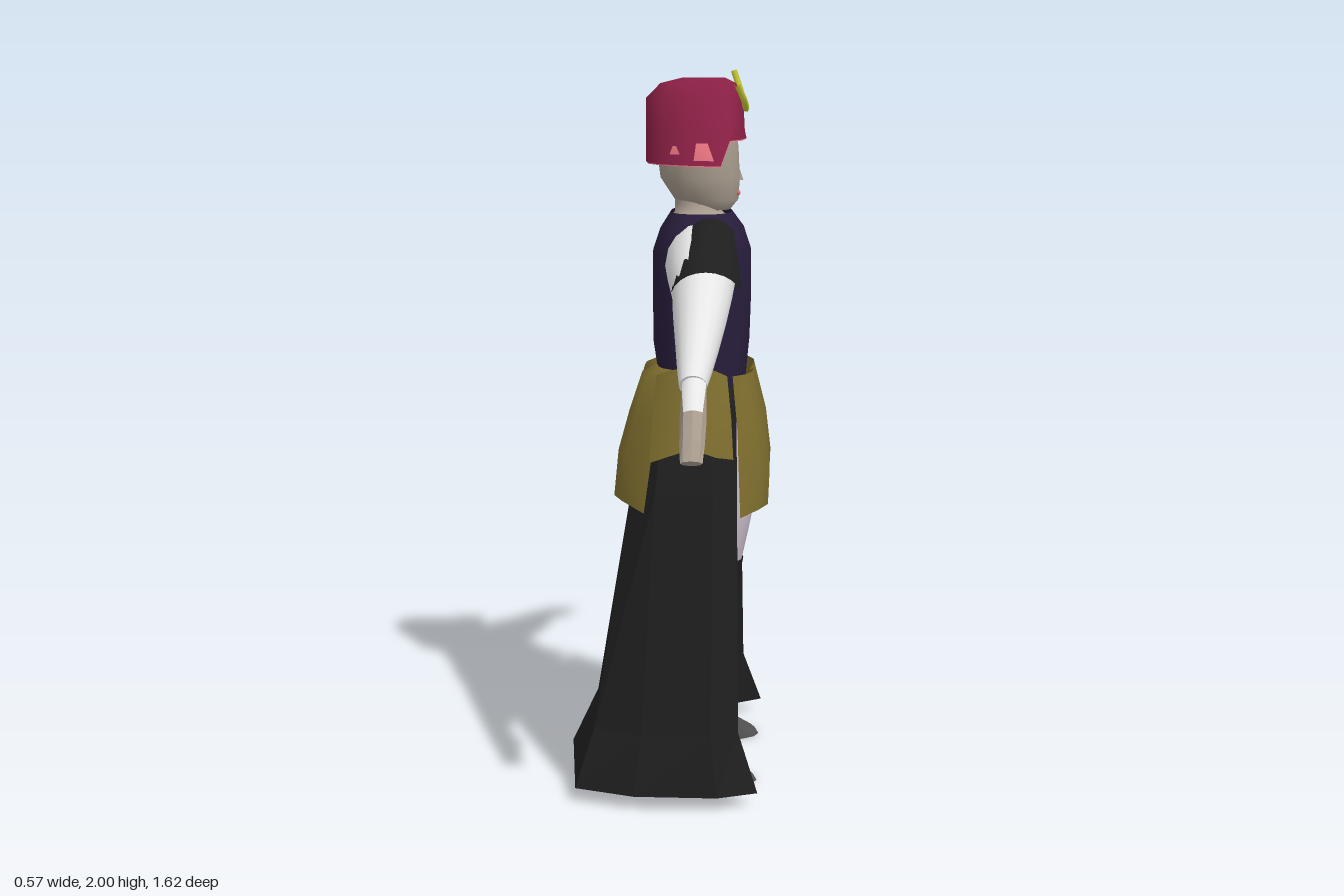
import * as THREE from 'three';

const mat = (name, color, side = THREE.DoubleSide) => {
  const m = new THREE.MeshStandardMaterial({ color, side });
  m.name = name;
  return m;
};
const V = (x, y, z) => new THREE.Vector3(x, y, z);

// Skin between rings of points; optional end caps use their own vertices so the edge stays sharp.
function loft(name, rings, material, { closed = true, capStart = false, capEnd = false, flat = false } = {}) {
  const pos = [], idx = [], n = rings[0].length;
  rings.forEach(r => r.forEach(p => pos.push(p.x, p.y, p.z)));
  for (let i = 0; i < rings.length - 1; i++) {
    for (let j = 0; j < (closed ? n : n - 1); j++) {
      const k = (j + 1) % n, a = i * n + j, b = i * n + k;
      idx.push(a, a + n, b, b, a + n, b + n);
    }
  }
  const cap = (ring, reverse) => {
    const c = new THREE.Vector3();
    ring.forEach(p => c.addScaledVector(p, 1 / n));
    const base = pos.length / 3;
    [c, ...ring].forEach(p => pos.push(p.x, p.y, p.z));
    for (let j = 0; j < n; j++) {
      const a = base + 1 + j, b = base + 1 + (j + 1) % n;
      reverse ? idx.push(base, a, b) : idx.push(base, b, a);
    }
  };
  if (capStart) cap(rings[0], true);
  if (capEnd) cap(rings[rings.length - 1], false);
  let geo = new THREE.BufferGeometry();
  geo.setAttribute('position', new THREE.Float32BufferAttribute(pos, 3));
  geo.setIndex(idx);
  if (flat) geo = geo.toNonIndexed();
  geo.computeVertexNormals();
  const mesh = new THREE.Mesh(geo, material);
  mesh.name = name;
  return mesh;
}

// Horizontal oval ring; power below 1 makes it boxier.
function oval(y, x0, x1, rz, cz = 0, n = 20, power = 1) {
  const s = v => Math.sign(v) * Math.abs(v) ** power;
  return Array.from({ length: n }, (_, j) => {
    const t = j / n * Math.PI * 2;
    return V((x0 + x1) / 2 + (x1 - x0) / 2 * s(Math.cos(t)), y, cz + rz * s(Math.sin(t)));
  });
}

// Oval rings across a limb that runs in the y-z plane: [z, y, radius, x, xRadius].
// With half angles given, each ring is only an arc over the top.
function limb(sections, n, halfAngles, grow = 0) {
  return sections.map(([z, y, r, x, rx], i) => {
    const p = sections[Math.max(0, i - 1)], q = sections[Math.min(sections.length - 1, i + 1)];
    const d = new THREE.Vector2(q[0] - p[0], q[1] - p[1]).normalize();
    return Array.from({ length: n }, (_, j) => {
      const t = halfAngles ? halfAngles[i] * (2 * j / (n - 1) - 1) : j / n * Math.PI * 2;
      const c = (r + grow) * Math.cos(t);
      return V(x + (rx + grow) * Math.sin(t), y + d.x * c, z - d.y * c);
    });
  });
}

// Half outline [x, z, y?] completed by mirroring across z = 0; points on z = 0 stay single.
function mirrored(half, y) {
  const a = half.map(p => V(p[0], p[2] ?? y, p[1]));
  const b = a.filter(p => p.z !== 0).map(p => V(p.x, p.y, -p.z)).reverse();
  return [...a, ...b];
}

function mirrorMesh(mesh, name) {
  const geo = mesh.geometry.clone().scale(1, 1, -1);
  const src = geo.index ? Array.from(geo.index.array) : [...Array(geo.attributes.position.count).keys()];
  const out = [];
  for (let i = 0; i < src.length; i += 3) out.push(src[i], src[i + 2], src[i + 1]);
  geo.setIndex(out);
  const m = new THREE.Mesh(geo, mesh.material);
  m.name = name;
  return m;
}

export function createModel() {
  const group = new THREE.Group();
  group.name = 'womanInHat';
  const F = THREE.FrontSide;
  const skin = mat('skin', 0xa79b8d, F), thighSkin = mat('stocking', 0xc2b6c2, F);
  const white = mat('white shirt', 0xf0f0f0), black = mat('black cloth', 0x1e1e1e);
  const purple = mat('purple vest', 0x281d3c), gold = mat('gold cloth', 0x7c6c2d);
  const red = mat('red felt', 0x891f44), pink = mat('pink lining', 0xde6f7a);
  const yellow = mat('yellow plume', 0xc6c832, F), grey = mat('grey shoe', 0x505050, F);
  const add = (...m) => group.add(...m);
  const pair = m => {
    const base = m.name[0].toUpperCase() + m.name.slice(1);
    m.name = 'left' + base;
    add(m, mirrorMesh(m, 'right' + base));
  };

  // Head, neck and face
  add(loft('head', [
    oval(1.612, 0.07, 0.165, 0.045), oval(1.64, 0.01, 0.188, 0.075), oval(1.7, -0.03, 0.192, 0.093),
    oval(1.78, -0.04, 0.188, 0.1), oval(1.86, -0.03, 0.18, 0.085), oval(1.92, 0.03, 0.13, 0.045),
  ], skin, { capStart: true, capEnd: true }));
  add(loft('neck', [oval(1.585, -0.01, 0.17, 0.13), oval(1.605, 0.01, 0.145, 0.08),
    oval(1.63, 0.01, 0.13, 0.062), oval(1.68, 0.01, 0.13, 0.062)], skin));
  const nose = new THREE.Mesh(new THREE.ConeGeometry(0.01, 0.03, 4), skin);
  nose.name = 'nose';
  nose.position.set(0.192, 1.708, 0);
  const lips = new THREE.Mesh(new THREE.SphereGeometry(1, 10, 6), pink);
  lips.name = 'lips';
  lips.scale.set(0.006, 0.008, 0.026);
  lips.position.set(0.188, 1.658, 0);
  add(nose, lips);

  // Hat: high front brim, sides and back dropping lower
  const brim = mirrored([[0.21, 0, 1.81], [0.2, 0.09, 1.81], [0.168, 0.165, 1.81], [0.145, 0.225, 1.745],
    [0.06, 0.195], [-0.02, 0.14], [-0.06, 0.07], [-0.07, 0]], 1.745);
  const crown = [
    [1.83, [[0.205, 0], [0.195, 0.08], [0.17, 0.145], [0.13, 0.155], [0.05, 0.15], [-0.02, 0.115], [-0.06, 0.06], [-0.07, 0]]],
    [1.92, [[0.2, 0], [0.185, 0.05], [0.155, 0.08], [0.11, 0.09], [0.05, 0.09], [-0.02, 0.08], [-0.06, 0.04], [-0.07, 0]]],
    [1.96, [[0.18, 0], [0.17, 0.03], [0.145, 0.052], [0.1, 0.06], [0.05, 0.055], [0, 0.045], [-0.02, 0.02], [-0.03, 0]]],
    [1.975, [[0.15, 0], [0.145, 0.01], [0.13, 0.02], [0.1, 0.022], [0.07, 0.02], [0.045, 0.016], [0.035, 0.008], [0.03, 0]]],
  ].map(([y, h]) => mirrored(h, y));
  add(loft('hat', [brim, ...crown], red, { capEnd: true }));
  const inset = (ring, sx, sz, dy) => ring.map(p => V(0.075 + (p.x - 0.075) * sx, p.y + dy, p.z * sz));
  add(loft('hatLining', [inset(crown[0], 0.8, 0.55, 0.015), inset(crown[0], 0.96, 0.96, -0.004),
    inset(brim, 0.995, 0.995, -0.003)], pink));
  const plume = new THREE.Mesh(new THREE.TubeGeometry(new THREE.CatmullRomCurve3([
    V(0.185, 1.96, 0.1), V(0.204, 1.915, 0.06), V(0.208, 1.892, 0.015), V(0.205, 1.895, -0.03),
    V(0.19, 1.94, -0.07), V(0.172, 1.992, -0.085)]), 24, 0.009, 6), yellow);
  plume.name = 'plume';
  add(plume);

  // Vest
  add(loft('vest', [
    [1.02, -0.02, 0.2, 0.16], [1.12, -0.03, 0.21, 0.165], [1.25, -0.05, 0.222, 0.165], [1.38, -0.05, 0.226, 0.182],
    [1.5, -0.05, 0.225, 0.185], [1.56, -0.03, 0.205, 0.175], [1.608, 0, 0.17, 0.13],
  ].map(([y, a, b, rz]) => oval(y, a, b, rz, 0, 28, 0.75)), purple, { capStart: true }));

  // Arms, shoulder caps and hands
  const arm = [[0.12, 1.48, 0.112, 0.093, 0.1], [0.175, 1.472, 0.108, 0.093, 0.1], [0.25, 1.443, 0.096, 0.096, 0.092],
    [0.312, 1.4, 0.085, 0.1, 0.08], [0.37, 1.362, 0.079, 0.098, 0.073], [0.475, 1.298, 0.064, 0.095, 0.058],
    [0.56, 1.25, 0.047, 0.092, 0.046], [0.622, 1.217, 0.034, 0.09, 0.036]];
  const capPath = arm.slice(0, 4).map(([z, y, r]) => [z, y, r, 0.112, 0.088]);
  pair(loft('shirtSleeve', limb(arm, 16), white, { capEnd: true }));
  pair(loft('shoulderCap', limb(capPath, 11, [0.8, 0.85, 1.1, 1.35], 0.008), black, { closed: false }));
  const hand = [[0.59, 1.232, 0.03, 0.093, 0.03], [0.64, 1.2, 0.03, 0.093, 0.032], [0.7, 1.148, 0.03, 0.094, 0.034],
    [0.76, 1.095, 0.022, 0.094, 0.032], [0.803, 1.055, 0.01, 0.094, 0.028]];
  pair(loft('hand', limb(hand, 8), skin, { capEnd: true, flat: true }));
  pair(loft('cuffPoint', limb(hand.slice(0, 3), 7, [1.2, 1, 0.7], 0.004), white, { closed: false }));
  pair(loft('thumb', limb([[0.635, 1.19, 0.017, 0.112, 0.014], [0.665, 1.135, 0.014, 0.115, 0.013],
    [0.685, 1.085, 0.006, 0.112, 0.008]], 6), skin, { capEnd: true, flat: true }));

  // Legs and shoes
  pair(loft('thigh', [oval(0.63, 0.03, 0.205, 0.085, 0.143), oval(0.72, 0.025, 0.225, 0.093, 0.135),
    oval(0.82, 0.02, 0.245, 0.1, 0.126), oval(1.05, 0, 0.23, 0.1, 0.105)], thighSkin));
  pair(loft('longSock', [oval(0.12, 0.025, 0.12, 0.043, 0.157), oval(0.2, 0.02, 0.13, 0.047, 0.157),
    oval(0.32, 0.015, 0.155, 0.064, 0.153), oval(0.45, 0.01, 0.18, 0.083, 0.147),
    oval(0.55, 0.015, 0.195, 0.09, 0.144), oval(0.645, 0.022, 0.212, 0.091, 0.143)], black));
  pair(loft('shoe', [oval(0, 0.01, 0.255, 0.068, 0.195, 14), oval(0.018, 0.01, 0.245, 0.068, 0.194, 14),
    oval(0.06, 0.012, 0.18, 0.056, 0.178, 14), oval(0.145, 0.018, 0.125, 0.046, 0.157, 14)],
  grey, { capStart: true, capEnd: true }));

  // Long overskirt, open at the front
  const skirtRings = [
    [0.04, [[0.18, 0.35], [0.26, 0.4], [0.15, 0.445], [-0.08, 0.445], [-0.245, 0.39], [-0.29, 0]]],
    [0.2, [[0.15, 0.32], [0.205, 0.36], [0.13, 0.41], [-0.06, 0.405], [-0.195, 0.34], [-0.215, 0]]],
    [0.85, [[0.15, 0.22], [0.195, 0.235], [0.13, 0.272], [-0.03, 0.27], [-0.1, 0.19], [-0.105, 0]]],
    [1.1, [[0.16, 0.165], [0.19, 0.17], [0.12, 0.2], [-0.01, 0.19], [-0.045, 0.14], [-0.055, 0]]],
    [1.14, [[0.16, 0.13], [0.18, 0.13], [0.12, 0.155], [0, 0.145], [-0.02, 0.1], [-0.025, 0]]],
  ].map(([y, h]) => mirrored(h, y));
  add(loft('overskirt', skirtRings, black, { closed: false, flat: true }));

  // Gold peplum: paired front and back lobes and two hip flaps
  const panel = (name, rings) => loft(name, rings.map(([y, pts]) => pts.map(p => V(p[0], p[2] ?? y, p[1]))),
    gold, { closed: false });
  pair(panel('frontLobe', [
    [0.8, [[0.245, 0, 0.83], [0.272, 0.07, 0.815], [0.28, 0.15], [0.255, 0.22], [0.205, 0.262, 0.785]]],
    [0.9, [[0.245, 0], [0.277, 0.07], [0.284, 0.14], [0.255, 0.205], [0.2, 0.245]]],
    [1.02, [[0.235, 0], [0.265, 0.07], [0.27, 0.13], [0.245, 0.19], [0.195, 0.222]]],
    [1.17, [[0.222, 0, 1.155], [0.235, 0.05], [0.233, 0.11], [0.215, 0.16], [0.18, 0.198]]],
  ]));
  pair(panel('backLobe', [
    [0.82, [[-0.12, 0, 0.79], [-0.148, 0.07, 0.81], [-0.152, 0.15], [-0.125, 0.22], [-0.06, 0.285, 0.8]]],
    [0.95, [[-0.11, 0], [-0.138, 0.07], [-0.14, 0.14], [-0.115, 0.2], [-0.04, 0.262]]],
    [1.06, [[-0.09, 0], [-0.11, 0.07], [-0.11, 0.13], [-0.09, 0.18], [-0.03, 0.23]]],
    [1.16, [[-0.065, 0], [-0.078, 0.06], [-0.076, 0.11], [-0.06, 0.155], [-0.02, 0.195]]],
    [1.18, [[-0.03, 0], [-0.035, 0.05], [-0.03, 0.1], [-0.015, 0.135], [0.01, 0.155]]],
  ]));
  pair(panel('hipFlap', [
    [0.96, [[0.185, 0.265, 0.95], [0.14, 0.29], [0.07, 0.303, 0.985], [0, 0.295], [-0.045, 0.275, 0.94]]],
    [1.06, [[0.178, 0.24], [0.14, 0.268], [0.07, 0.28], [0.01, 0.268], [-0.038, 0.245]]],
    [1.19, [[0.165, 0.195, 1.17], [0.13, 0.222], [0.07, 0.236, 1.2], [0.01, 0.222], [-0.03, 0.19, 1.17]]],
  ]));
  return group;
}
